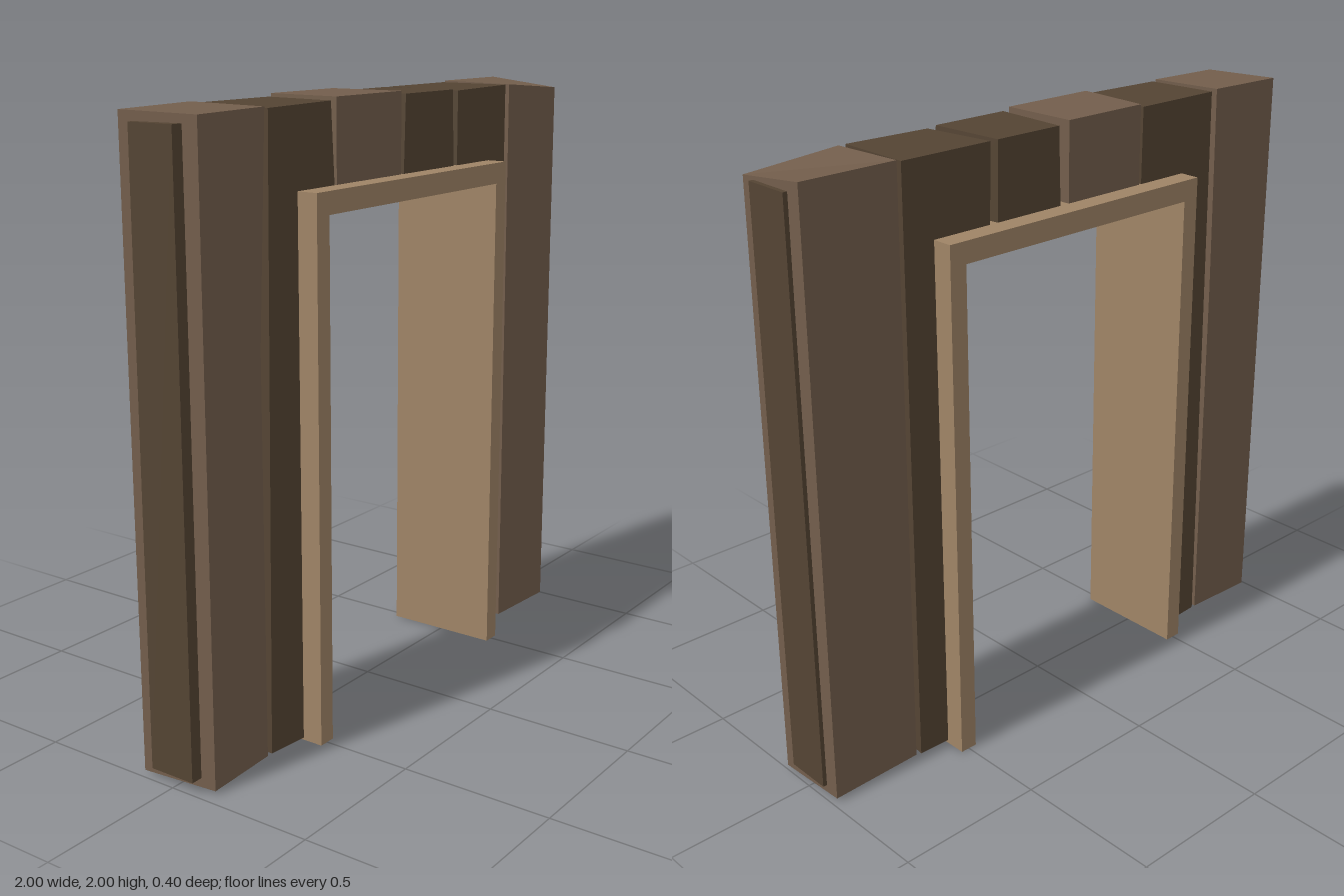
import * as THREE from 'three';

const FRAME = 0x9f8466, LIGHT = 0x735e4c, DARK = 0x544433;
const HALF = 0.13; // half thickness of the planks

// Solid between a front and a back outline (counter-clockwise, equal counts)
function loft(front, back, depth) {
  const v2 = front.map(([x, y]) => new THREE.Vector2(x, y));
  const f = front.map(([x, y]) => [x, y, depth]);
  const b = back.map(([x, y]) => [x, y, -depth]);
  const pos = [];
  for (const [i, j, k] of THREE.ShapeUtils.triangulateShape(v2, [])) {
    pos.push(...f[i], ...f[j], ...f[k], ...b[i], ...b[k], ...b[j]);
  }
  for (let i = 0; i < f.length; i++) {
    const j = (i + 1) % f.length;
    pos.push(...f[i], ...b[i], ...b[j], ...f[i], ...b[j], ...f[j]);
  }
  const geo = new THREE.BufferGeometry();
  geo.setAttribute('position', new THREE.Float32BufferAttribute(pos, 3));
  geo.computeVertexNormals();
  return geo;
}

// Upside-down U outline: outer half width, inner half width, bottom, inner top, top
const arch = (o, i, y0, y1, y2) => [
  [-o, y0], [-i, y0], [-i, y1], [i, y1], [i, y0], [o, y0], [o, y2], [-o, y2],
];

export function createModel() {
  const group = new THREE.Group();
  const add = (name, color, front, back, depth = HALF) => {
    const mesh = new THREE.Mesh(loft(front, back, depth), new THREE.MeshStandardMaterial({ color }));
    mesh.name = name;
    group.add(mesh);
  };

  // Door lining, deeper than the wall
  const lining = arch(0.53, 0.47, 0, 1.67, 1.74);
  add('doorFrame', FRAME, lining, lining, 0.2);

  // Thin core board seen in the gaps and at the ends
  const core = arch(1, 0.5, 0.04, 1.71, 1.96);
  add('coreBoard', DARK, core, core, 0.08);

  // Full-height outer planks
  add('outerPlankRight', LIGHT,
    [[-0.955, 0.01], [-0.71, 0.02], [-0.71, 1.3], [-0.675, 1.99], [-0.955, 1.985]],
    [[-0.98, 0.01], [-0.7, 0.02], [-0.7, 1.3], [-0.69, 1.995], [-0.985, 1.99]]);
  add('outerPlankLeft', LIGHT,
    [[0.67, 0.02], [0.99, 0.005], [0.985, 1.965], [0.66, 1.99]],
    [[0.665, 0.02], [0.985, 0.015], [0.985, 1.995], [0.655, 1.995]]);

  // Inner planks, notched around the frame
  add('innerPlankRight', DARK,
    [[-0.69, 0.02], [-0.5, 0.005], [-0.5, 1.72], [-0.35, 1.72], [-0.367, 1.99], [-0.66, 1.985]],
    [[-0.685, 0.02], [-0.5, 0.01], [-0.5, 1.72], [-0.335, 1.72], [-0.337, 1.99], [-0.665, 1.99]]);
  add('innerPlankLeft', DARK,
    [[0.5, 0.005], [0.64, 0.045], [0.635, 1.99], [0.33, 1.985], [0.33, 1.72], [0.5, 1.72]],
    [[0.5, 0.01], [0.645, 0.015], [0.64, 1.99], [0.31, 1.99], [0.315, 1.72], [0.5, 1.72]]);

  // Short planks above the opening
  add('headPlankMiddle', LIGHT,
    [[-0.34, 1.72], [0, 1.72], [0, 2], [-0.34, 2]],
    [[-0.325, 1.72], [-0.01, 1.72], [-0.01, 2], [-0.325, 2]]);
  add('headPlankLeft', DARK,
    [[0.015, 1.72], [0.31, 1.72], [0.298, 1.99], [0.025, 1.99]],
    [[0.025, 1.72], [0.285, 1.72], [0.28, 1.99], [0.033, 1.99]]);

  return group;
}
